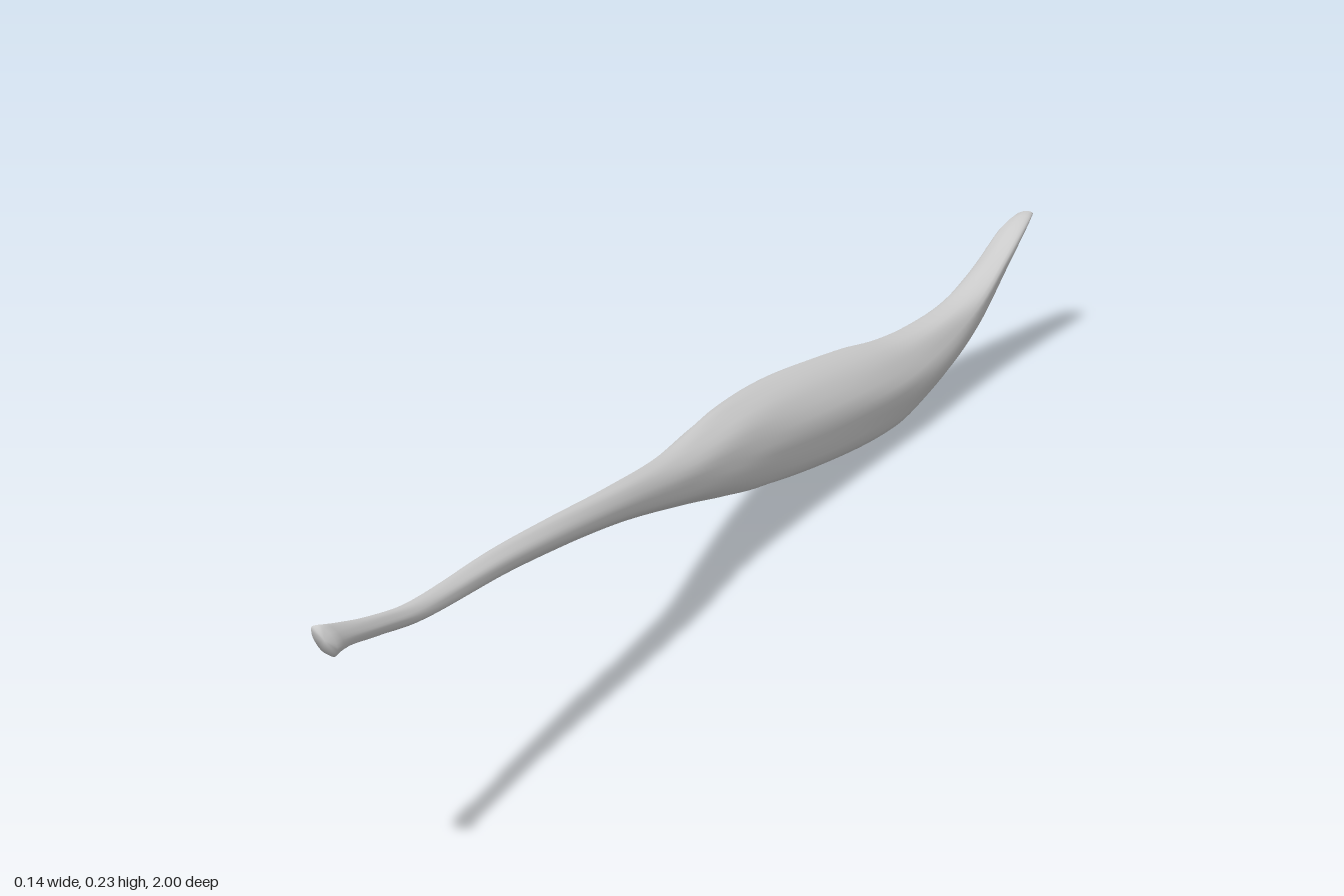
import * as THREE from 'three';

// Stations along the pod: z, xMin, xMax, yMin, yMax, tilt of the section
const stations = [
  [1.0, -0.024, 0.0, 0.203, 0.23, -0.6],
  [0.97, -0.024, -0.002, 0.202, 0.222, -0.5],
  [0.9, -0.021, -0.002, 0.19, 0.207, -0.3],
  [0.8, -0.022, 0.0, 0.174, 0.191, -0.2],
  [0.6, -0.025, 0.004, 0.159, 0.181, -0.2],
  [0.45, -0.024, 0.008, 0.143, 0.17, -0.2],
  [0.3, -0.026, 0.011, 0.122, 0.156, -0.2],
  [0.1, -0.042, 0.012, 0.083, 0.135, -0.25],
  [-0.1, -0.06, 0.024, 0.043, 0.13, -0.3],
  [-0.3, -0.071, 0.04, 0.017, 0.116, -0.3],
  [-0.5, -0.056, 0.054, 0.002, 0.1, -0.2],
  [-0.6, -0.041, 0.058, 0.005, 0.09, -0.05],
  [-0.7, -0.02, 0.061, 0.02, 0.088, 0.1],
  [-0.8, 0.0, 0.064, 0.05, 0.096, 0.3],
  [-0.9, 0.02, 0.067, 0.093, 0.124, 0.5],
  [-0.97, 0.035, 0.07, 0.131, 0.15, 0.5],
  [-1.0, 0.047, 0.068, 0.146, 0.155, 0.4],
];

const SIDES = 28;
const RINGS = 120;

// Smooth value of one station column at z
function sample(z, column) {
  let i = 0;
  while (i < stations.length - 2 && z < stations[i + 1][0]) i++;
  const a = stations[i], b = stations[i + 1];
  const f = THREE.MathUtils.clamp((a[0] - z) / (a[0] - b[0]), 0, 1);
  const slope = (k) => {
    const p = stations[Math.max(k - 1, 0)], n = stations[Math.min(k + 1, stations.length - 1)];
    return (n[column] - p[column]) / (n[0] - p[0]);
  };
  const h = b[0] - a[0], f2 = f * f, f3 = f2 * f;
  return (2 * f3 - 3 * f2 + 1) * a[column] + (f3 - 2 * f2 + f) * h * slope(i)
    + (3 * f2 - 2 * f3) * b[column] + (f3 - f2) * h * slope(i + 1);
}

// Shallow wrinkles running lengthwise and drifting around the skin
function wrinkle(t, z) {
  return 1 - 0.035 * Math.pow(Math.abs(Math.sin(3.5 * t + 2.2 * z + Math.sin(7 * z))), 6)
    - 0.02 * (1 + Math.sin(5 * t - 9 * z + 2 * Math.sin(4 * z)));
}

function podGeometry() {
  const positions = [], index = [];
  for (let i = 0; i <= RINGS; i++) {
    const z = 1 - (2 * i) / RINGS;
    const [, x0, x1, y0, y1, tilt] = [0, 1, 2, 3, 4, 5].map((c) => (c ? sample(z, c) : z));
    for (let j = 0; j < SIDES; j++) {
      const t = (j / SIDES) * Math.PI * 2;
      const r = wrinkle(t, z);
      positions.push(
        (x0 + x1) / 2 + ((x1 - x0) / 2) * Math.cos(t) * r,
        (y0 + y1) / 2 + ((y1 - y0) / 2) * Math.sin(t + tilt) * r,
        z,
      );
      if (i === RINGS) continue;
      const a = i * SIDES + j, b = i * SIDES + ((j + 1) % SIDES);
      index.push(a, a + SIDES, b, b, a + SIDES, b + SIDES);
    }
  }
  // Close both ends
  const ends = [[0, stations[0]], [RINGS * SIDES, stations[stations.length - 1]]];
  ends.forEach(([start, s], e) => {
    const centre = positions.length / 3;
    positions.push((s[1] + s[2]) / 2, (s[3] + s[4]) / 2, s[0]);
    for (let j = 0; j < SIDES; j++) {
      const a = start + j, b = start + ((j + 1) % SIDES);
      if (e === 0) index.push(centre, a, b);
      else index.push(centre, b, a);
    }
  });
  const geometry = new THREE.BufferGeometry();
  geometry.setAttribute('position', new THREE.Float32BufferAttribute(positions, 3));
  geometry.setIndex(index);
  geometry.computeVertexNormals();
  return geometry;
}

export function createModel() {
  const group = new THREE.Group();
  group.name = 'driedPod';
  const pod = new THREE.Mesh(podGeometry(), new THREE.MeshStandardMaterial({ color: 0xcccccc }));
  pod.name = 'podAndStem';
  group.add(pod);
  return group;
}
